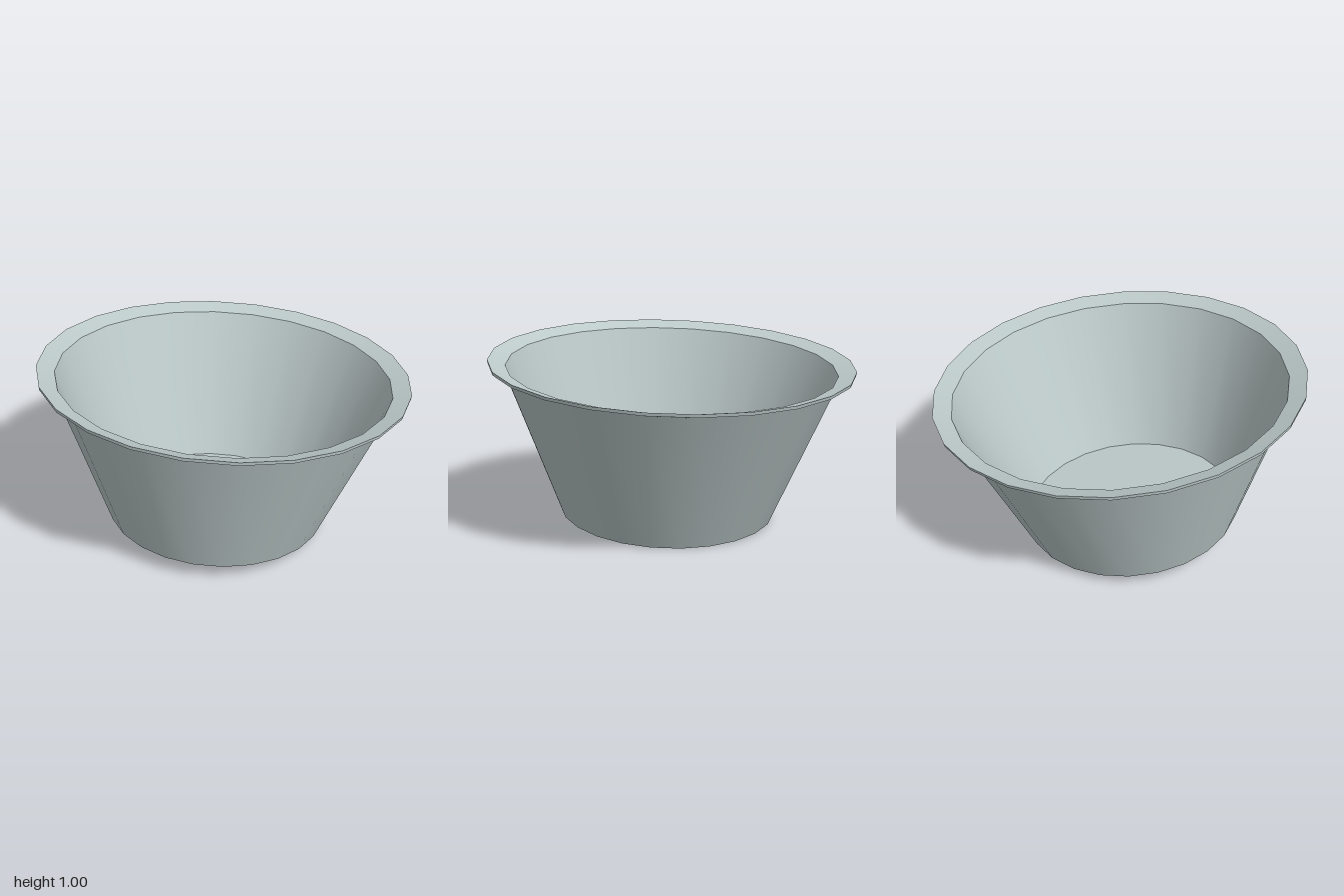
import * as THREE from 'three';

const SIDES = 24;

export function createModel() {
  const model = new THREE.Group();
  const metal = new THREE.MeshStandardMaterial({ color: 0xbccac9 });
  metal.name = 'pale grey green';

  // The whole tub leans towards +x
  const tub = new THREE.Group();
  tub.name = 'tub';
  tub.rotation.z = -THREE.MathUtils.degToRad(5.25);
  tub.position.set(-0.076, 0.055, 0);
  model.add(tub);

  // Closed profile, walked from the underside round the rim to the inner floor;
  // each section is its own lathe so that edges between sections stay sharp
  const profile = [
    ['underside', 0, 0],
    ['outerWall', 0.6, 0],
    ['rimUnderside', 0.917, 0.81],
    ['rimEdge', 0.995, 0.835],
    ['rimTop', 0.998, 0.853],
    ['innerWall', 0.902, 0.823],
    ['innerFloor', 0.587, 0.015],
    ['', 0, 0.015],
  ];
  for (let i = 0; i < profile.length - 1; i++) {
    const [name, r0, y0] = profile[i];
    const [, r1, y1] = profile[i + 1];
    const section = new THREE.LatheGeometry(
      [new THREE.Vector2(r0, y0), new THREE.Vector2(r1, y1)], SIDES);
    const mesh = new THREE.Mesh(section, metal);
    mesh.name = name;
    tub.add(mesh);
  }
  return model;
}
